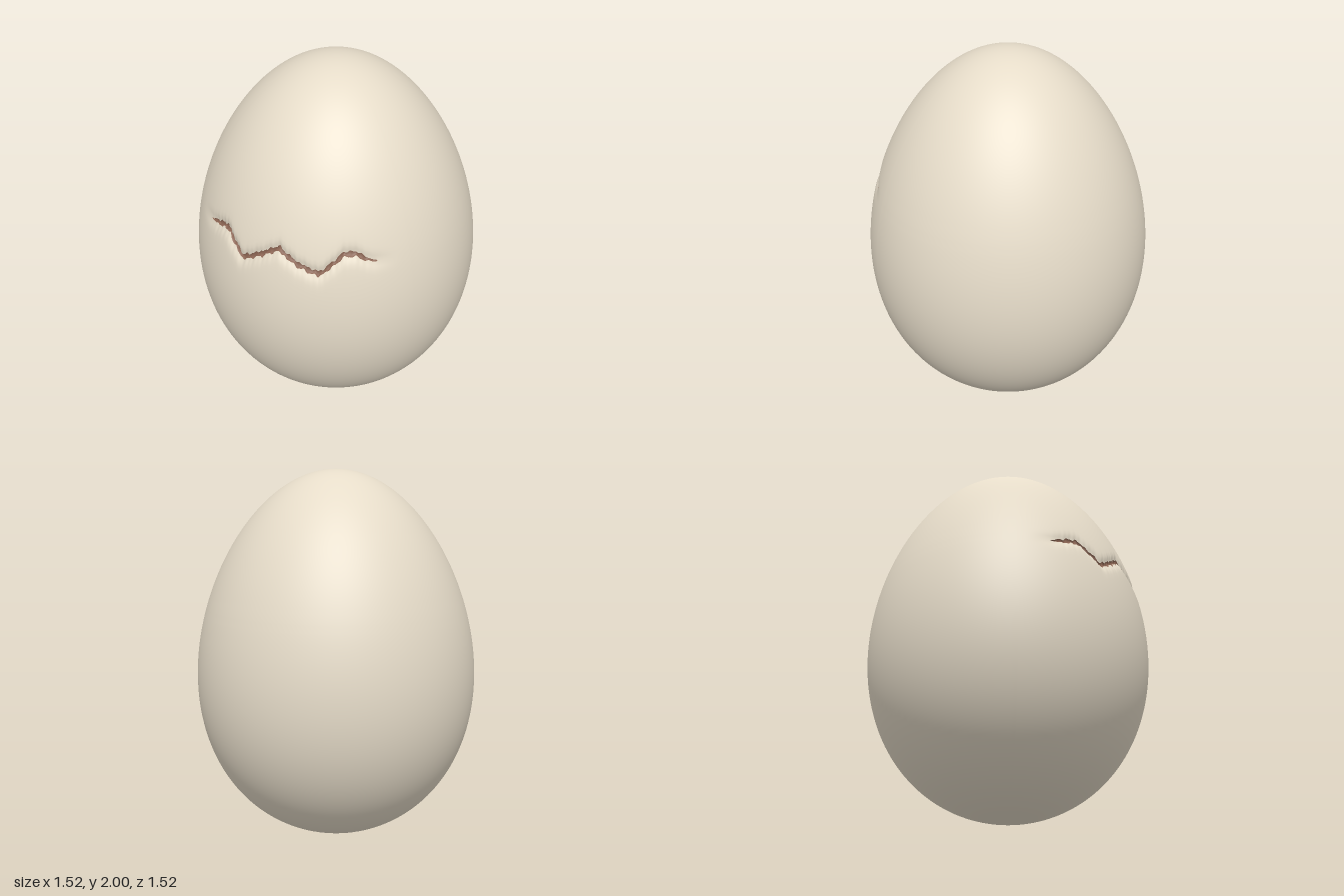
import * as THREE from 'three';

const CRACK_Y = 1.25;
// Crack zigzag as (x, y) on the front of the shell
const CRACK = [
  [-0.6, 1.25], [-0.44, 1.25], [-0.4, 1.265], [-0.32, 1.285], [-0.195, 1.185], [-0.1, 1.24], [0, 1.3],
  [0.105, 1.24], [0.205, 1.205], [0.25, 1.24], [0.31, 1.3], [0.355, 1.31], [0.435, 1.265], [0.6, 1.25],
];

// Egg radius at a height
function eggRadius(y) {
  const c = THREE.MathUtils.clamp(y - 1, -1, 1);
  return 0.754 * Math.sqrt(1 - c * c) * (1 - 0.124 * c);
}

// Crack line offset, half width and dent strength at an angle around the egg
function crackAt(phi) {
  const x = 0.7 * Math.sin(phi);
  if (Math.cos(phi) < 0 || Math.abs(x) >= 0.6) return { offset: 0, half: 0, dent: 0 };
  const k = CRACK.findIndex((p) => p[0] > x);
  const [x0, y0] = CRACK[k - 1], [x1, y1] = CRACK[k];
  const taper = 1 - THREE.MathUtils.smoothstep(Math.abs(x), 0.38, 0.45);
  const ragged = Math.sin(x * 173) * Math.sin(x * 71 + 1);
  return {
    offset: y0 + (y1 - y0) * (x - x0) / (x1 - x0) - CRACK_Y + 0.006 * ragged * taper,
    half: taper > 0 ? (0.004 + 0.009 * taper) * (1 + 0.3 * Math.sin(x * 131)) : 0,
    dent: 1 - THREE.MathUtils.smoothstep(Math.abs(x), 0.36, 0.54),
  };
}

function pointOn(phi, y, depth) {
  const r = Math.max(eggRadius(y) - depth, 0);
  return [r * Math.sin(phi), y, r * Math.cos(phi)];
}

function meshFrom(name, positions, index, material) {
  const geometry = new THREE.BufferGeometry();
  geometry.setAttribute('position', new THREE.Float32BufferAttribute(positions, 3));
  geometry.setIndex(index);
  geometry.computeVertexNormals();
  const mesh = new THREE.Mesh(geometry, material);
  mesh.name = name;
  return mesh;
}

export function createModel() {
  const shellColor = new THREE.MeshStandardMaterial({ color: 0xe6dcc9 });
  shellColor.name = 'shell cream';
  const crackColor = new THREE.MeshStandardMaterial({ color: 0x8c6553, side: THREE.DoubleSide });
  crackColor.name = 'crack brown';

  // Columns: dense across the front, wider around the back
  const columns = [];
  for (let i = 0; i < 200; i++) columns.push(-0.95 + 1.9 * i / 200);
  for (let i = 0; i < 90; i++) columns.push(0.95 + (2 * Math.PI - 1.9) * i / 90);
  const n = columns.length;

  // Rows as heights relative to the crack; the two lips meet at zero
  const near = [0.018, 0.026, 0.036, 0.05, 0.07];
  const rows = [];
  for (let j = 0; j <= 50; j++) {
    const theta = THREE.MathUtils.lerp(Math.PI, Math.acos(0.15), j / 50);
    rows.push(1 + Math.cos(theta) - CRACK_Y);
  }
  rows.push(...near.map((s) => -s).reverse());
  const lowerLip = rows.length;
  const upperLip = lowerLip + 1;
  rows.push(0, 0, ...near);
  for (let j = 0; j <= 45; j++) {
    const theta = THREE.MathUtils.lerp(Math.acos(0.35), 0, j / 45);
    rows.push(1 + Math.cos(theta) - CRACK_Y);
  }

  // Shell vertices: rows bend to follow the crack and sink in beside it
  const cracks = columns.map(crackAt);
  const positions = [];
  rows.forEach((s0, j) => {
    columns.forEach((phi, i) => {
      const { offset, half, dent } = cracks[i];
      const s = j === lowerLip ? -half : j === upperLip ? half : s0;
      const follow = 1 - THREE.MathUtils.smoothstep(Math.abs(s), 0.05, 0.5);
      const depth = 0.016 * dent * Math.exp(-((s / 0.035) ** 2));
      positions.push(...pointOn(phi, CRACK_Y + s + offset * follow, depth));
    });
  });

  // Shell faces: the lips are joined wherever there is no crack
  const at = (j, i) => {
    const col = i % n;
    return (j === upperLip && cracks[col].half === 0 ? lowerLip : j) * n + col;
  };
  const index = [];
  for (let j = 0; j < rows.length - 1; j++) {
    if (j === lowerLip) continue;
    for (let i = 0; i < n; i++) {
      const a = at(j, i), b = at(j, i + 1), c = at(j + 1, i + 1), d = at(j + 1, i);
      if (j > 0) index.push(a, b, c);
      if (j < rows.length - 2) index.push(a, c, d);
      else index.push(a, b, d);
    }
  }
  const shell = meshFrom('shell', positions, index, shellColor);
  const normals = shell.geometry.attributes.normal;
  for (let i = 0; i < n; i++) {
    normals.setXYZ(i, 0, -1, 0);
    normals.setXYZ((rows.length - 1) * n + i, 0, 1, 0);
  }

  // Crack floor: a shallow trough between the two lips
  const floor = [], floorIndex = [];
  columns.forEach((phi, i) => {
    const { offset, half, dent } = cracks[i];
    [[-1, 0], [-0.7, 0.009], [0.7, 0.009], [1, 0]].forEach(([side, sink]) => {
      const s = side * half;
      const depth = 0.016 * dent * Math.exp(-((s / 0.035) ** 2)) + (half > 0 ? sink : 0);
      floor.push(...pointOn(phi, CRACK_Y + offset + s, depth));
    });
    if (i === n - 1 || (half === 0 && cracks[i + 1].half === 0)) return;
    for (let k = 0; k < 3; k++) {
      const a = i * 4 + k, b = a + 4;
      floorIndex.push(a, b, b + 1, a, b + 1, a + 1);
    }
  });
  const crack = meshFrom('crack', floor, floorIndex, crackColor);

  const egg = new THREE.Group();
  egg.name = 'crackedEgg';
  egg.add(shell, crack);
  return egg;
}
